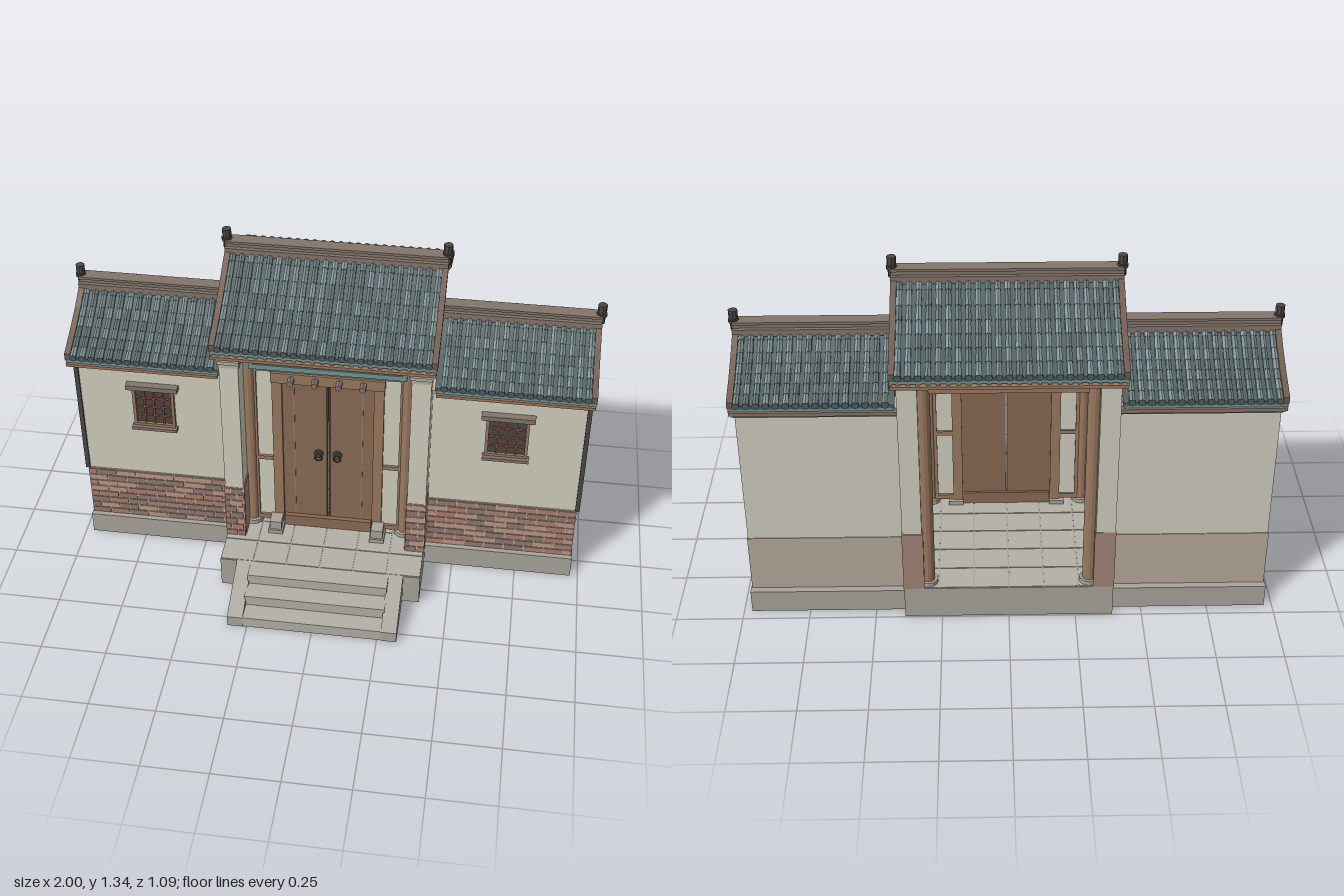
import * as THREE from 'three';
import { mergeGeometries } from 'three/addons/utils/BufferGeometryUtils.js';

const C = {
  wall: 0xd2cebf, band: 0xb8aa9c, brick: [0xa97f70, 0xba9786, 0x8f7a70], mortar: 0xc2a595, redBrick: 0xa58477,
  stone: 0xa9a59d, paleStone: 0xb4b0a8, wood: 0x9a7a60, door: 0x8b6b54, tile: [0x748788, 0x82969a, 0x677779],
  pan: 0x4f5c5e, ridge: 0x83766b, rake: 0x6f5a4e, gable: 0xc0a492, teal: 0x6f9698, red: 0x9b5643, dark: 0x4a4846,
};
const RIDGE_Z = -0.155;
let seed = 7;
const rnd = () => (seed = (seed * 16807) % 2147483647) / 2147483647;

// Box from min/max limits
const box = (x0, x1, y0, y1, z0, z1) =>
  new THREE.BoxGeometry(x1 - x0, y1 - y0, z1 - z0).translate((x0 + x1) / 2, (y0 + y1) / 2, (z0 + z1) / 2);
const column = (r, x, y0, y1, z, n = 12) => new THREE.CylinderGeometry(r, r, y1 - y0, n).translate(x, (y0 + y1) / 2, z);
const knob = (r, x, y, z0, z1, n = 8) =>
  new THREE.CylinderGeometry(r, r, z1 - z0, n).rotateX(Math.PI / 2).translate(x, y, (z0 + z1) / 2);
// Cross-section given as [z, y] points, run along x
function prism(pts, x0, x1) {
  const s = new THREE.Shape(pts.map(p => new THREE.Vector2(p[0], p[1])));
  return new THREE.ExtrudeGeometry(s, { depth: x1 - x0, bevelEnabled: false }).rotateY(-Math.PI / 2).translate(x1, 0, 0);
}
// Tapered rod between two points
function rod(a, b, r0, r1, n = 6) {
  const d = b.clone().sub(a);
  const q = new THREE.Quaternion().setFromUnitVectors(new THREE.Vector3(0, 1, 0), d.clone().normalize());
  return new THREE.CylinderGeometry(r1, r0, d.length(), n).applyQuaternion(q).translate((a.x + b.x) / 2, (a.y + b.y) / 2, (a.z + b.z) / 2);
}
function add(parent, name, geos, color) {
  const g = mergeGeometries([geos].flat().map(k => (k.index ? k.toNonIndexed() : k)));
  const m = new THREE.Mesh(g, new THREE.MeshStandardMaterial({ color, flatShading: true, side: THREE.DoubleSide }));
  m.name = name;
  parent.add(m);
}
function group(parent, name) {
  const g = new THREE.Group();
  g.name = name;
  parent.add(g);
  return g;
}
const both = fn => [fn(-1), fn(1)].flat();
// Box mirrored to side s
const sbox = (s, x0, x1, ...r) => (s > 0 ? box(x0, x1, ...r) : box(-x1, -x0, ...r));

// Band that follows both slopes, between two heights relative to the profile
function slopeBand(pts, up, down, x0, x1) {
  const line = dy => [...pts.slice(1).reverse().map(p => [RIDGE_Z - p[0], p[1] + dy]), ...pts.map(p => [RIDGE_Z + p[0], p[1] + dy])];
  return prism([...line(up), ...line(down).reverse()], x0, x1);
}

// Curved tiled roof with ridge; ends lists the x positions that get a rake and ridge finial
function roof(parent, name, x0, x1, pts, baseY, rows, ends) {
  const g = group(parent, name);
  const n = pts.length - 1, eave = pts[n];
  add(g, 'roofPan', slopeBand(pts, 0, -0.012, x0, x1), C.pan);
  add(g, 'roofBoarding', slopeBand(pts, -0.012, -0.022, x0 + 0.004, x1 - 0.004), C.teal);
  const shades = [[], [], []], caps = [], rafters = [];
  const pitch = (x1 - x0 - 0.03) / rows;
  for (const s of [-1, 1]) {
    const curve = new THREE.CatmullRomCurve3(pts.map(p => new THREE.Vector3(0, p[1] + 0.003, RIDGE_Z + s * p[0])));
    for (let i = 0; i < rows; i++) {
      const off = new THREE.Vector3(x0 + 0.015 + (i + 0.5) * pitch, 0, 0);
      for (let k = 0; k < 7; k++)
        shades[Math.floor(rnd() * 3)].push(rod(curve.getPoint(k / 7).add(off), curve.getPoint((k + 1) / 7).add(off), 0.0105, 0.0125));
      const z = RIDGE_Z + s * eave[0];
      caps.push(knob(0.013, off.x, eave[1] + 0.002, z - 0.005, z + 0.005));
      rafters.push(box(off.x - 0.007, off.x + 0.007, eave[1] - 0.034, eave[1] - 0.02, z - 0.03 - s * 0.03, z + 0.03 - s * 0.03));
    }
  }
  shades.forEach((geos, i) => add(g, 'tileRows' + i, geos, C.tile[i]));
  add(g, 'eaveTileEnds', caps, C.pan);
  add(g, 'rafterEnds', rafters, C.ridge);
  // Ridge, rakes, gable boards and finials
  add(g, 'ridge', [box(x0, x1, pts[0][1] - 0.015, pts[0][1] + 0.012, RIDGE_Z - 0.033, RIDGE_Z + 0.033),
    box(x0, x1, pts[0][1], pts[0][1] + 0.03, RIDGE_Z - 0.018, RIDGE_Z + 0.018),
    box(x0, x1, pts[0][1] + 0.028, pts[0][1] + 0.038, RIDGE_Z - 0.026, RIDGE_Z + 0.026)], C.ridge);
  for (const x of ends) {
    const o = Math.sign(x), a = x - o * 0.022;
    add(g, 'rake', slopeBand(pts, 0.016, -0.008, Math.min(a, x), Math.max(a, x)), C.rake);
    add(g, 'gableBoard', slopeBand(pts, -0.014, -0.036, Math.min(x - o * 0.014, x - o * 0.003), Math.max(x - o * 0.014, x - o * 0.003)), C.wood);
    const fx = x - o * 0.005, y = pts[0][1];
    add(g, 'finial', [column(0.014, fx, y, y + 0.045, RIDGE_Z, 8), column(0.02, fx, y + 0.03, y + 0.042, RIDGE_Z, 8),
      column(0.017, fx, y + 0.047, y + 0.078, RIDGE_Z, 8)], C.dark);
  }
  // Eave boards
  add(g, 'eaveBoards', both(s => {
    const z = RIDGE_Z + s * (eave[0] - 0.015);
    return box(x0 + 0.005, x1 - 0.005, baseY - 0.006, baseY + 0.006, z - 0.025, z + 0.025);
  }), C.wood);
}
// Solid gable wall filling the space under a roof
const gableWall = (pts, baseY, reach, x0, x1) => {
  const p = pts.map(([d, y]) => [Math.min(d, reach), y - 0.02]);
  return prism([...p.slice(1).reverse().map(q => [RIDGE_Z - q[0], q[1]]), ...p.map(q => [RIDGE_Z + q[0], q[1]]),
    [RIDGE_Z + reach, baseY], [RIDGE_Z - reach, baseY]], x0, x1);
};

// Staggered brick facing on a front wall
function bricks(parent, x0, x1, y0, y1, z, rows, len) {
  add(parent, 'brickMortar', box(x0, x1, y0, y1, z - 0.01, z + 0.001), C.mortar);
  const sets = [[], [], []], h = (y1 - y0) / rows;
  for (let r = 0; r < rows; r++)
    for (let x = x0 - (r % 2) * len / 2; x < x1 - 0.005; x += len) {
      const a = Math.max(x0, x), b = Math.min(x1, x + len - 0.006);
      if (b - a > 0.005) sets[Math.floor(rnd() * 3)].push(box(a, b, y0 + r * h + 0.002, y0 + (r + 1) * h - 0.003, z, z + 0.005));
    }
  sets.forEach((s, i) => s.length && add(parent, 'bricks' + i, s, C.brick[i]));
}

function buildWing(parent, s) {
  const g = group(parent, s > 0 ? 'leftWing' : 'rightWing');
  add(g, 'wingBase', sbox(s, 0.385, 0.97, 0, 0.09, -0.455, 0.09), C.stone);
  add(g, 'wingWall', sbox(s, 0.385, 0.963, 0.32, 0.86, -0.425, 0.063), C.wall);
  add(g, 'lowerWall', sbox(s, 0.385, 0.966, 0.09, 0.32, -0.428, 0.066), C.band);
  bricks(g, s > 0 ? 0.39 : -0.966, s > 0 ? 0.966 : -0.39, 0.09, 0.32, 0.067, 8, 0.078);
  add(g, 'cornerPole', sbox(s, 0.96, 0.977, 0.32, 0.86, 0.055, 0.07), C.dark);
  add(g, 'cornice', [sbox(s, 0.39, 0.968, 0.853, 0.868, -0.435, 0.075), sbox(s, 0.39, 0.972, 0.866, 0.88, -0.45, 0.1)], C.ridge);
  const pts = [[0, 1.055], [0.1, 0.99], [0.19, 0.944], [0.285, 0.903]];
  add(g, 'wingGable', gableWall(pts, 0.87, 0.272, s > 0 ? 0.385 : -0.968, s > 0 ? 0.968 : -0.385), C.gable);
  roof(g, 'wingRoof', s > 0 ? 0.4 : -0.985, s > 0 ? 0.985 : -0.4, pts, 0.875, 16, [s * 0.985]);
  // Lattice window
  const w = group(g, 'window'), x = s * 0.675;
  add(w, 'windowPane', box(x - 0.07, x + 0.07, 0.575, 0.735, 0.055, 0.066), C.dark);
  add(w, 'windowFrame', [-1, 1].map(k => box(x + k * 0.075 - 0.006, x + k * 0.075 + 0.006, 0.568, 0.744, 0.06, 0.078))
    .concat([0.568, 0.733].map(y => box(x - 0.08, x + 0.08, y, y + 0.011, 0.06, 0.078))), C.wood);
  add(w, 'windowBars', [-1, 0, 1].flatMap(k => [box(x + k * 0.036 - 0.003, x + k * 0.036 + 0.003, 0.575, 0.735, 0.064, 0.073),
    box(x - 0.07, x + 0.07, 0.653 + k * 0.04, 0.659 + k * 0.04, 0.064, 0.073)]), C.red);
  add(w, 'windowLedges', [box(x - 0.1, x + 0.1, 0.745, 0.765, 0.06, 0.093), box(x - 0.088, x + 0.088, 0.555, 0.568, 0.06, 0.093)], C.ridge);
}

function buildPlatform(parent) {
  const g = group(parent, 'platform');
  add(g, 'platformBlock', box(-0.39, 0.39, 0, 0.13, -0.495, 0.32), C.stone);
  const tiles = [];
  for (let i = 0; i < 6; i++)
    for (let j = 0; j < 7; j++) {
      const x = -0.39 + i * 0.13, z = -0.495 + j * 0.1164;
      tiles.push(box(x + 0.003, x + 0.127, 0.129, 0.133, z + 0.003, z + 0.113));
    }
  add(g, 'paving', tiles, C.paleStone);
  add(g, 'steps', [0.13, 0.088, 0.045].map((y, i) => box(-0.27, 0.27, 0, y, 0.3, 0.395 + i * 0.073)), C.paleStone);
  add(g, 'stairCheeks', both(s => prism([[0.315, 0], [0.543, 0], [0.543, 0.045], [0.315, 0.132]], s > 0 ? 0.265 : -0.325, s > 0 ? 0.325 : -0.265)), C.stone);
}

function buildGate(parent) {
  const g = group(parent, 'gatehouse');
  // Side walls with brick dado and stepped corbels
  add(g, 'gateWalls', both(s => sbox(s, 0.318, 0.39, 0.13, 1.035, -0.493, 0.172)), C.wall);
  add(g, 'brickDado', both(s => sbox(s, 0.314, 0.392, 0.13, 0.38, -0.495, 0.17)), C.redBrick);
  for (const s of [-1, 1]) bricks(g, s > 0 ? 0.316 : -0.392, s > 0 ? 0.392 : -0.316, 0.13, 0.375, 0.173, 8, 0.05);
  add(g, 'corbels', both(s => [0, 1, 2, 3].map(i => sbox(s, 0.314 - i * 0.002, 0.392 + i * 0.002, 0.95 + i * 0.02, 0.966 + i * 0.02, 0.09, 0.175 + i * 0.01))), C.paleStone);
  const pts = [[0, 1.262], [0.13, 1.186], [0.25, 1.122], [0.38, 1.067]];
  add(g, 'gateGables', both(s => gableWall(pts, 1.033, 0.36, s > 0 ? 0.34 : -0.392, s > 0 ? 0.392 : -0.34)), C.gable);
  roof(g, 'gateRoof', -0.412, 0.412, pts, 1.033, 23, [-0.412, 0.412]);
  // Timber frame
  const beams = both(s => [column(0.023, s * 0.3, 0.13, 1.05, 0.07), column(0.025, s * 0.3, 0.13, 1.05, -0.455),
    box(s * 0.3 - 0.018, s * 0.3 + 0.018, 0.94, 0.985, -0.455, 0.07), column(0.018, s * 0.3, 0.98, 1.24, RIDGE_Z, 8)]);
  for (const [z, y] of [[0.07, 1.06], [-0.455, 1.04], [RIDGE_Z, 1.215], [-0.02, 1.14], [-0.29, 1.14]])
    beams.push(rod(new THREE.Vector3(-0.35, y, z), new THREE.Vector3(0.35, y, z), 0.02, 0.02, 8));
  beams.push(box(-0.3, 0.3, 0.965, 1.01, -0.468, -0.442));
  add(g, 'timberFrame', beams, C.wood);
  add(g, 'columnBases', both(s => [column(0.036, s * 0.3, 0.13, 0.15, 0.07), column(0.036, s * 0.3, 0.13, 0.15, -0.455)]), C.stone);
}

function buildDoor(parent) {
  const g = group(parent, 'doorway');
  add(g, 'doorLeaves', both(s => sbox(s, 0.002, 0.174, 0.182, 0.84, 0.055, 0.073)), C.door);
  add(g, 'leafTrim', both(s => [sbox(s, 0.003, 0.008, 0.185, 0.838, 0.07, 0.078), sbox(s, 0.128, 0.133, 0.185, 0.838, 0.07, 0.076)]), C.wood);
  add(g, 'threshold', box(-0.172, 0.172, 0.13, 0.182, 0.045, 0.09), C.door);
  add(g, 'doorFrame', [box(-0.215, 0.215, 0.84, 0.885, 0.045, 0.095), box(-0.285, 0.285, 0.884, 0.9, 0.045, 0.085),
    ...both(s => [sbox(s, 0.174, 0.212, 0.15, 0.885, 0.045, 0.088).scale(1, 1, 1), sbox(s, 0.205, 0.285, 0.455, 0.472, 0.05, 0.082),
      sbox(s, 0.205, 0.285, 0.15, 0.17, 0.05, 0.082), sbox(s, 0.272, 0.285, 0.15, 0.89, 0.05, 0.082)])], C.wood);
  add(g, 'sidePanels', both(s => sbox(s, 0.2, 0.285, 0.15, 0.89, 0.058, 0.072)), C.wall);
  add(g, 'lintelPegs', [-0.135, -0.045, 0.045, 0.135].map(x => knob(0.013, x, 0.864, 0.085, 0.13, 6)), C.ridge);
  add(g, 'doorKnockers', both(s => [knob(0.018, s * 0.036, 0.503, 0.072, 0.083, 12), knob(0.009, s * 0.036, 0.503, 0.08, 0.093),
    new THREE.TorusGeometry(0.013, 0.003, 5, 12).translate(s * 0.036, 0.49, 0.088)]), C.dark);
  add(g, 'drumStones', both(s => [sbox(s, 0.172, 0.23, 0.13, 0.15, 0.03, 0.15), sbox(s, 0.178, 0.224, 0.15, 0.188, 0.085, 0.143)]), C.stone);
  // Painted beam and transom
  add(g, 'paintedBeam', [box(-0.295, 0.295, 0.9, 0.932, 0.05, 0.1), box(-0.28, 0.28, 0.908, 0.924, 0.1, 0.104)], C.teal);
  add(g, 'transomPanels', box(-0.28, 0.28, 0.932, 1.035, 0.06, 0.074), C.wall);
  add(g, 'transomFrame', [box(-0.285, 0.285, 0.932, 0.944, 0.052, 0.085), box(-0.285, 0.285, 1.018, 1.035, 0.052, 0.085),
    ...[-0.276, -0.094, 0.094, 0.276].map(x => box(x - 0.016, x + 0.016, 0.935, 1.03, 0.052, 0.084))], C.red);
}

export function createModel() {
  seed = 7;
  const model = new THREE.Group();
  model.name = 'courtyardGate';
  buildPlatform(model);
  buildGate(model);
  buildDoor(model);
  for (const s of [-1, 1]) buildWing(model, s);
  return model;
}
